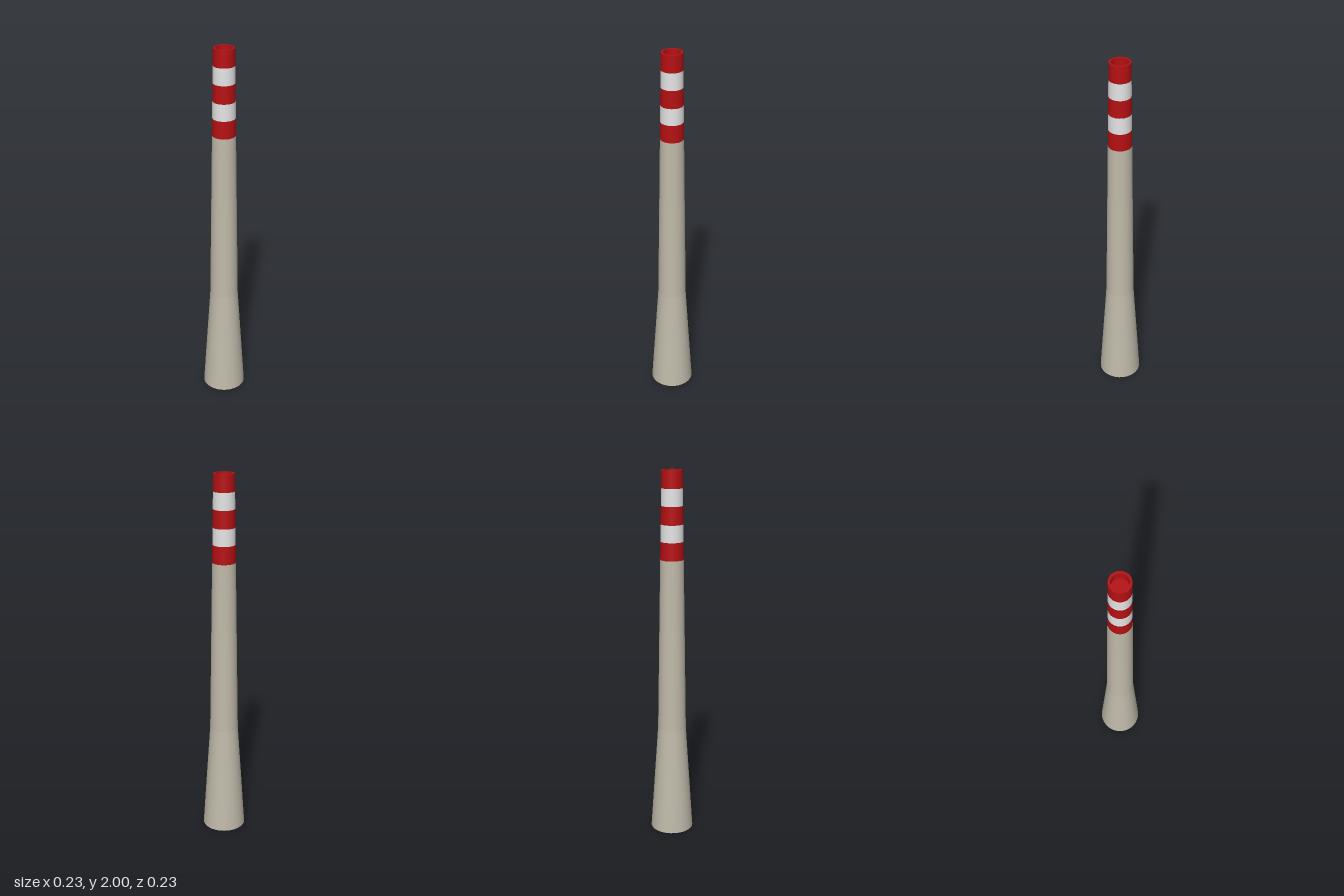
import * as THREE from 'three';

const SIDES = 32;

export function createModel() {
  const chimney = new THREE.Group();
  chimney.name = 'chimney';

  const makeMaterial = (name, color) => {
    const material = new THREE.MeshStandardMaterial({ color });
    material.name = name;
    return material;
  };
  const concrete = makeMaterial('concrete', 0xc0baaa);
  const red = makeMaterial('warning red', 0xb51012);
  const white = makeMaterial('warning white', 0xe4e4e4);

  // One revolved surface between two [radius, height] points, sharp at both ends
  const addRing = (name, material, from, to) => {
    const points = [new THREE.Vector2(...from), new THREE.Vector2(...to)];
    const mesh = new THREE.Mesh(new THREE.LatheGeometry(points, SIDES), material);
    mesh.name = name;
    chimney.add(mesh);
  };

  // Concrete shaft: closed base, flared foot and slender upper stack
  addRing('baseUnderside', concrete, [0, 0], [0.117, 0]);
  addRing('flaredFoot', concrete, [0.117, 0], [0.077, 0.6]);
  addRing('upperShaft', concrete, [0.077, 0.6], [0.062, 1.54]);

  // Alternating warning bands
  const heights = [1.54, 1.635, 1.725, 1.82, 1.91, 2];
  const radiusAt = (y) => THREE.MathUtils.mapLinear(y, 1.54, 2, 0.062, 0.055);
  for (let i = 0; i < 5; i++) {
    const [low, high] = [heights[i], heights[i + 1]];
    addRing(`warningBand${i + 1}`, i % 2 ? white : red, [radiusAt(low), low], [radiusAt(high), high]);
  }

  // Rim and recessed flue mouth
  addRing('rim', red, [0.055, 2], [0.043, 2]);
  addRing('flueWall', red, [0.043, 2], [0.043, 1.95]);
  addRing('flueFloor', red, [0.043, 1.95], [0, 1.95]);

  return chimney;
}
